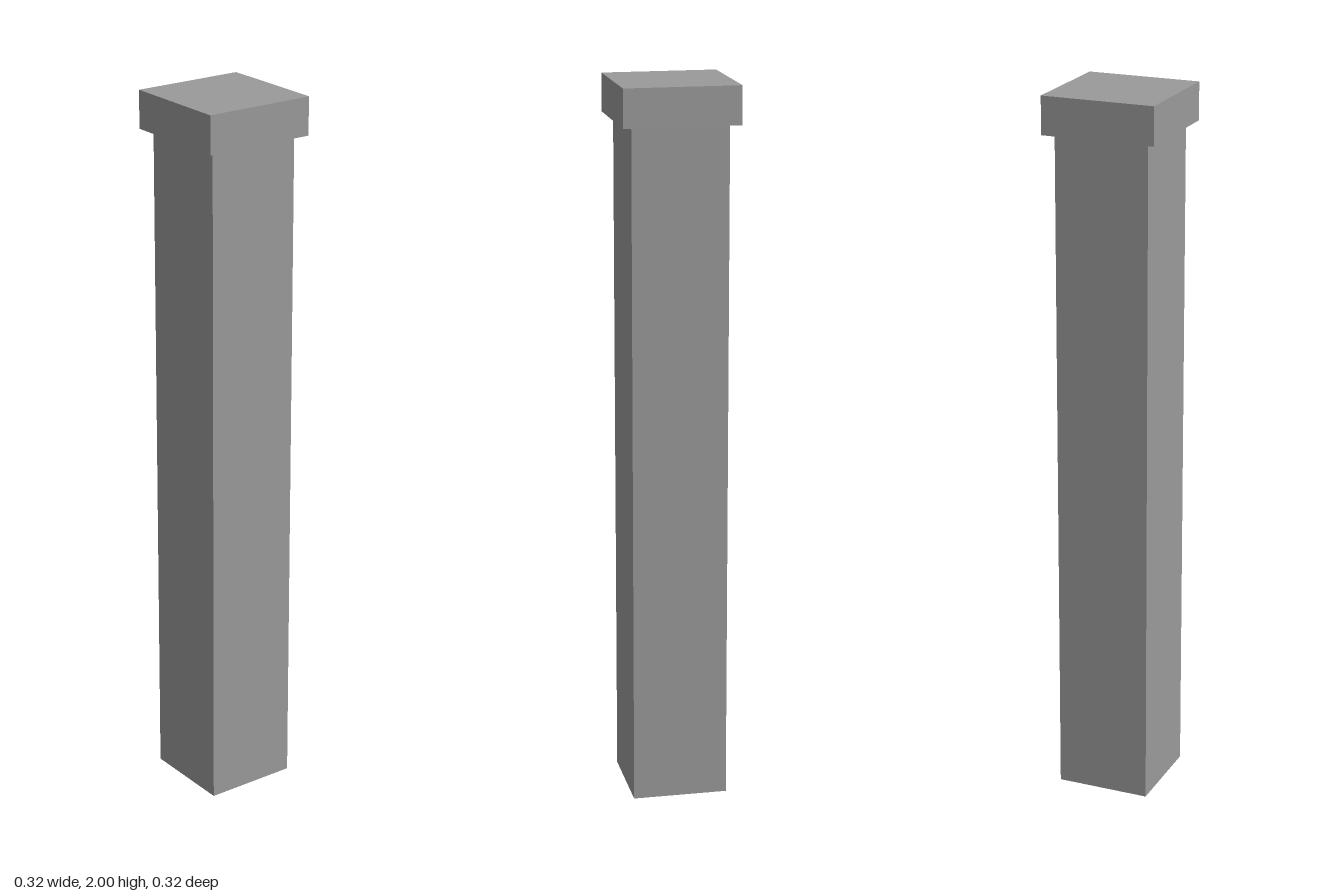
import * as THREE from 'three';

export function createModel() {
  const model = new THREE.Group();
  model.name = 'squarePillar';
  const material = new THREE.MeshStandardMaterial({ color: 0x9a9a9a });

  // Square block standing on the given height
  const addBlock = (name, width, height, bottom) => {
    const mesh = new THREE.Mesh(new THREE.BoxGeometry(width, height, width), material);
    mesh.name = name;
    mesh.position.y = bottom + height / 2;
    model.add(mesh);
  };

  const capHeight = 0.105;
  const shaftHeight = 2 - capHeight;
  addBlock('shaft', 0.264, shaftHeight, 0);
  addBlock('cap', 0.317, capHeight, shaftHeight);

  return model;
}
